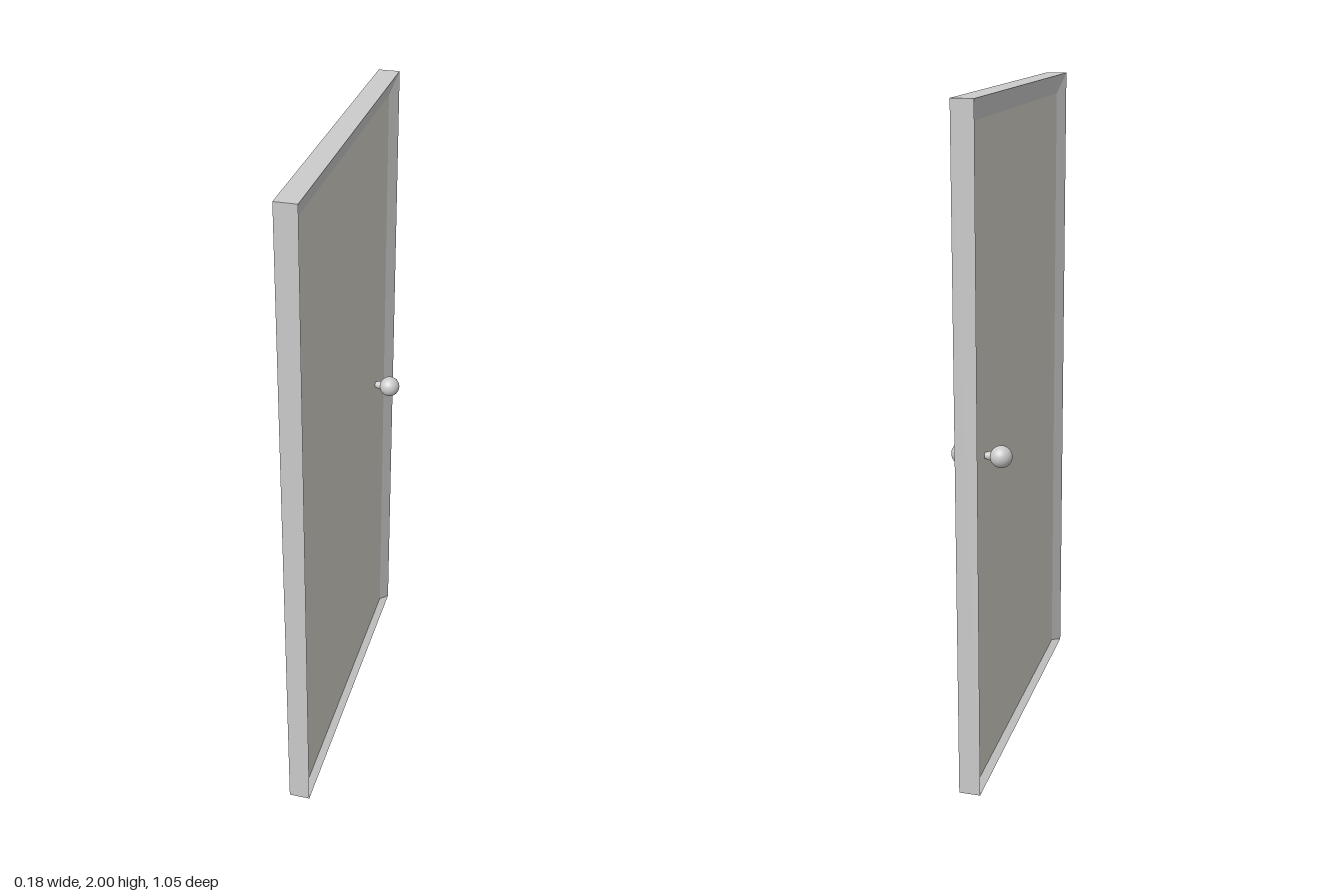
import * as THREE from 'three';

const grey = new THREE.MeshStandardMaterial({ color: 0xcccccc });
const flatGrey = new THREE.MeshStandardMaterial({ color: 0xcccccc, flatShading: true });
const panelMaterial = new THREE.MeshStandardMaterial({ color: 0xd0ccc4, flatShading: true });

const OUTER = { x: 0.032, z: 0.524, bottom: 0, top: 2 };
const INNER = { x: 0.01, z: 0.484, bottom: 0.013, top: 1.938 };

// Four corners of a rectangle facing +x, counter-clockwise
function ring({ z, bottom, top }, x) {
  return [[x, bottom, z], [x, bottom, -z], [x, top, -z], [x, top, z]];
}

// Closed frame: bevel, outer edge, opposite bevel
function frameGeometry() {
  const rings = [
    ring(INNER, INNER.x), ring(OUTER, OUTER.x),
    ring(OUTER, -OUTER.x), ring(INNER, -INNER.x),
  ];
  const positions = [];
  for (let r = 0; r < rings.length - 1; r++) {
    const a = rings[r], b = rings[r + 1];
    for (let i = 0; i < 4; i++) {
      const j = (i + 1) % 4;
      positions.push(...b[i], ...b[j], ...a[j], ...b[i], ...a[j], ...a[i]);
    }
  }
  const geometry = new THREE.BufferGeometry();
  geometry.setAttribute('position', new THREE.Float32BufferAttribute(positions, 3));
  geometry.computeVertexNormals();
  return geometry;
}

// Round knob on a tapered neck, pointing along +x or -x
function makeKnob(side) {
  const knob = new THREE.Group();
  knob.name = side > 0 ? 'leftKnob' : 'rightKnob';
  const ball = new THREE.Mesh(new THREE.SphereGeometry(0.032, 32, 20), grey);
  ball.name = 'knobBall';
  ball.position.x = 0.057;
  const neck = new THREE.Mesh(new THREE.CylinderGeometry(0.018, 0.009, 0.032, 20), grey);
  neck.name = 'knobNeck';
  neck.rotation.z = -Math.PI / 2;
  neck.position.x = 0.025;
  knob.add(ball, neck);
  knob.position.set(0, 1.003, -0.369);
  if (side < 0) knob.rotation.y = Math.PI;
  return knob;
}

export function createModel() {
  const door = new THREE.Group();
  door.name = 'door';

  const frame = new THREE.Mesh(frameGeometry(), flatGrey);
  frame.name = 'bevelledFrame';

  // Recessed panel between the bevels
  const height = INNER.top - INNER.bottom;
  const panel = new THREE.Mesh(
    new THREE.BoxGeometry(INNER.x * 2, height, INNER.z * 2), panelMaterial);
  panel.name = 'panel';
  panel.position.y = INNER.bottom + height / 2;

  door.add(frame, panel, makeKnob(1), makeKnob(-1));
  return door;
}
